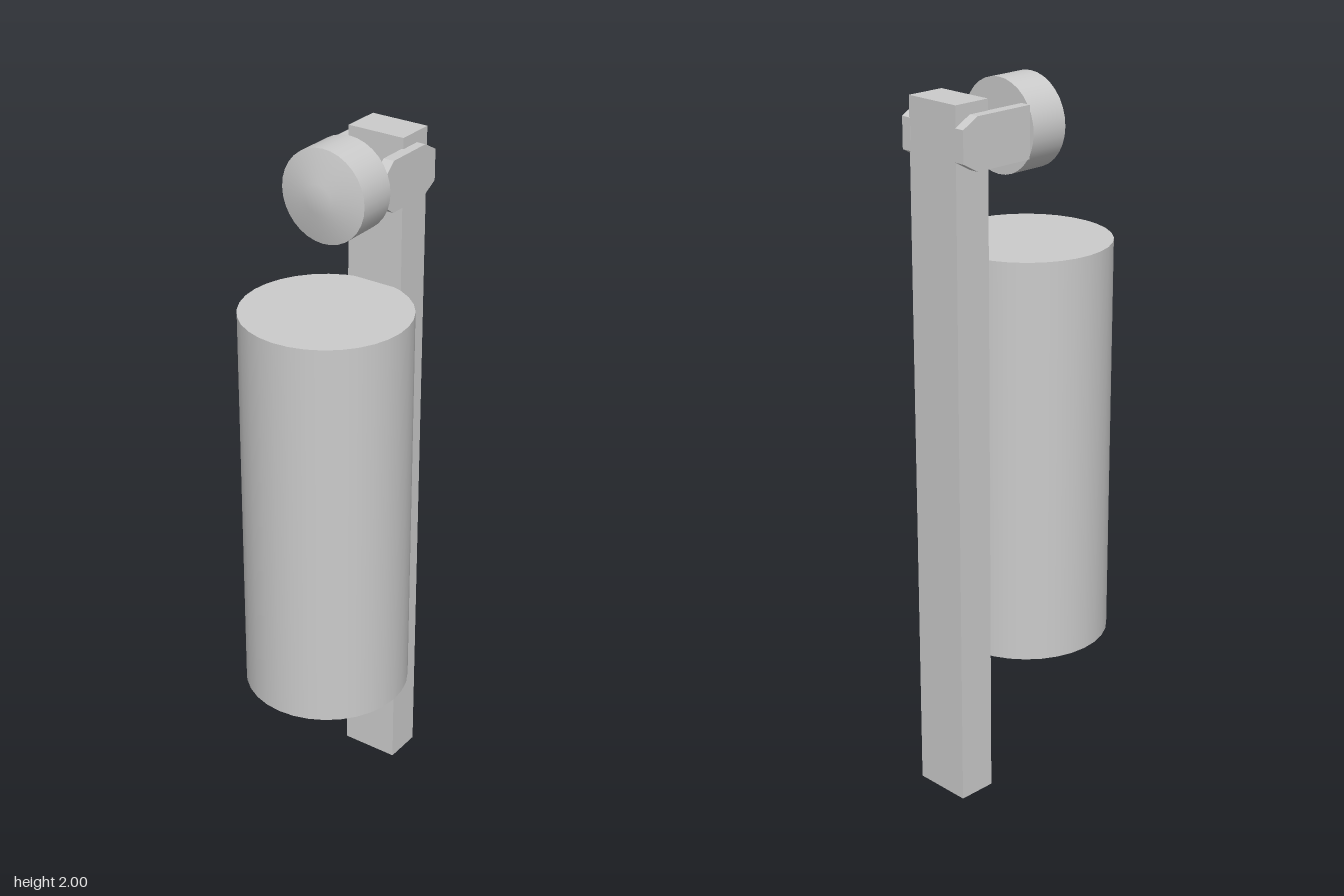
import * as THREE from 'three';

const material = new THREE.MeshStandardMaterial({ color: 0xcccccc });

function part(name, geometry, x = 0, y = 0, z = 0) {
  const mesh = new THREE.Mesh(geometry, material);
  mesh.name = name;
  mesh.position.set(x, y, z);
  return mesh;
}

// Lathe turned so its axis points to the front; points are [radius, z]
function turned(points) {
  const profile = points.map(([r, z]) => new THREE.Vector2(r, z));
  return new THREE.LatheGeometry(profile, 32).rotateX(Math.PI / 2);
}

// Plate of the given thickness, cut from a side outline of [z, y] points
function sidePlate(outline, thickness) {
  const shape = new THREE.Shape(outline.map(([z, y]) => new THREE.Vector2(-z, y)));
  const geometry = new THREE.ExtrudeGeometry(shape, { depth: thickness, bevelEnabled: false });
  return geometry.rotateY(Math.PI / 2);
}

export function createModel() {
  const model = new THREE.Group();
  model.name = 'postWithCylinder';

  // Upright post and the large cylinder in front of it
  model.add(part('post', new THREE.BoxGeometry(0.17, 1.975, 0.111), 0, 0.9875, -0.2275));
  model.add(part('cylinder', new THREE.CylinderGeometry(0.232, 0.232, 1.145, 32), 0, 0.9825, 0.05));

  // Round head: drum with a softly domed face
  const head = new THREE.Group();
  head.name = 'head';
  head.position.y = 1.873;
  head.add(part('headBack', turned([[0, -0.053], [0.127, -0.053]])));
  head.add(part('headDrum', turned([[0.127, -0.053], [0.127, 0.062]])));
  head.add(part('headDome', turned([[0.127, 0.062], [0.04, 0.085], [0, 0.085]])));
  model.add(head);

  // Two arms clasping the post and carrying the head
  const back = [[-0.235, 1.805], [-0.284, 1.832], [-0.284, 1.918], [-0.235, 1.945]];
  const chamferedFront = [[-0.09, 1.945], [-0.051, 1.91], [-0.051, 1.833], [-0.09, 1.805]];
  const squareFront = [[-0.053, 1.945], [-0.053, 1.805]];
  model.add(part('leftArm', sidePlate([...back, ...chamferedFront], 0.031), 0.08));
  model.add(part('rightArm', sidePlate([...back, ...squareFront], 0.03), -0.113));

  return model;
}
